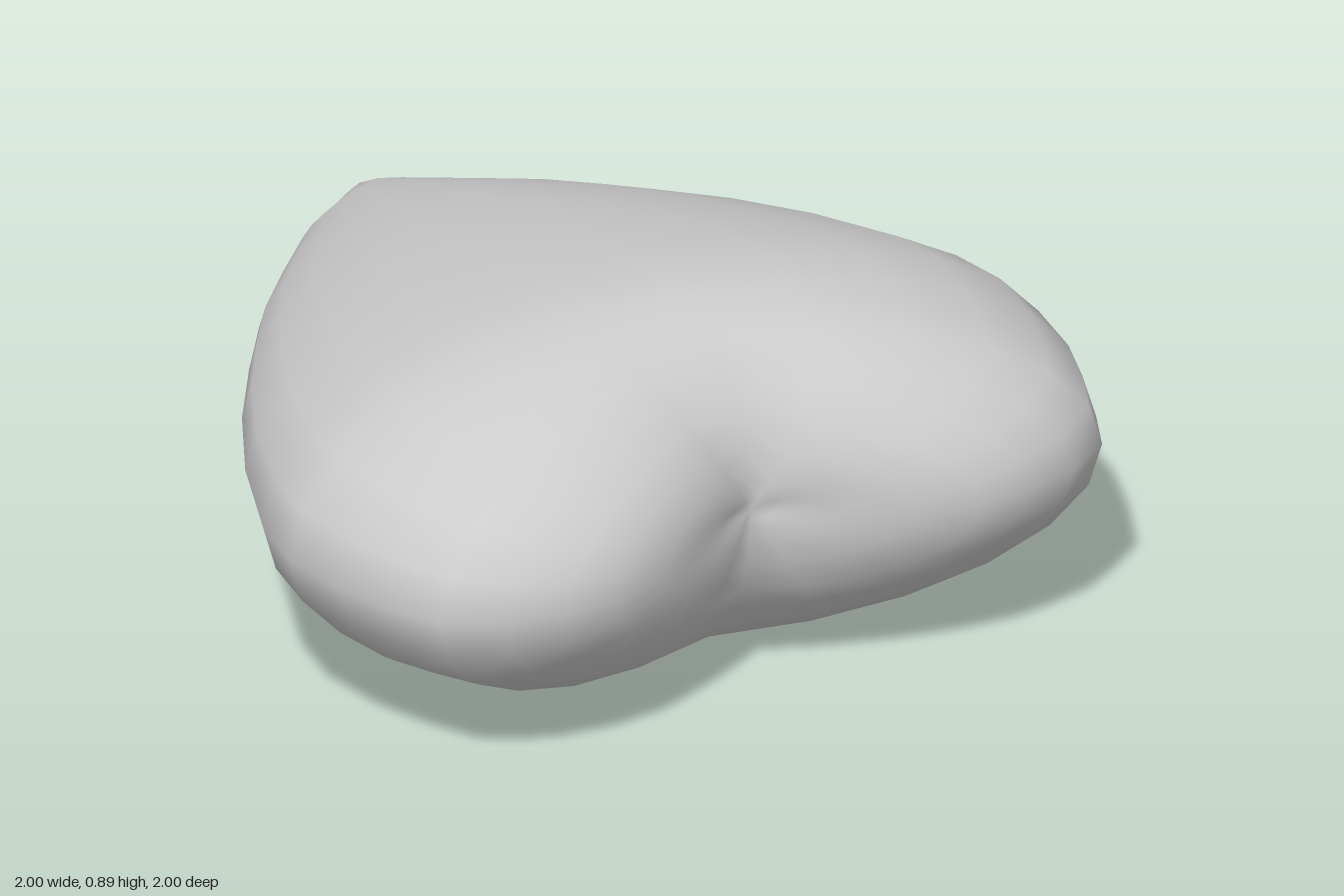
import * as THREE from 'three';

// Cross-sections from the rear tip to the front notch:
// [half width, z on the centre line, z on the outer rim]
const SECTIONS = [
  [0.10, -0.975, -0.94], [0.22, -0.89, -0.86], [0.37, -0.73, -0.71],
  [0.50, -0.58, -0.57], [0.62, -0.42, -0.41], [0.75, -0.21, -0.22],
  [0.87, 0.02, 0.0], [0.975, 0.26, 0.26], [1.0, 0.41, 0.42],
  [0.975, 0.48, 0.60], [0.93, 0.54, 0.74], [0.87, 0.59, 0.87],
  [0.75, 0.65, 0.95], [0.61, 0.70, 0.99], [0.48, 0.733, 0.995],
  [0.32, 0.76, 0.95], [0.16, 0.775, 0.86], [0.06, 0.78, 0.795],
];
const SIDES = 24, HALF_HEIGHT = 0.447, MID_Y = 0.455;

function heartGeometry() {
  const pos = [0, MID_Y + 0.025, -1];
  const index = [];
  SECTIONS.forEach(([w, zMid, zRim], i) => {
    const keel = i < 8 ? 0.35 * (1 - w) : 0; // rear sections turn lens-shaped towards the tip
    for (let j = 0; j < SIDES; j++) {
      const a = (j / SIDES) * Math.PI * 2;
      const c = Math.abs(Math.cos(a)), s = Math.sin(a);
      const y = THREE.MathUtils.lerp(s, Math.sign(s) * (1 - c), keel);
      pos.push(w * Math.cos(a), MID_Y + 0.025 * (1 - w) + HALF_HEIGHT * w * y, zMid + (zRim - zMid) * c);
    }
  });
  pos.push(0, MID_Y + 0.025, 0.78);

  // Skin between sections, closed by a fan at each pole
  const at = (i, j) => 1 + i * SIDES + (j % SIDES);
  const last = SECTIONS.length - 1, end = pos.length / 3 - 1;
  for (let j = 0; j < SIDES; j++) {
    index.push(0, at(0, j + 1), at(0, j));
    for (let i = 0; i < last; i++) {
      index.push(at(i, j), at(i, j + 1), at(i + 1, j));
      index.push(at(i, j + 1), at(i + 1, j + 1), at(i + 1, j));
    }
    index.push(at(last, j), at(last, j + 1), end);
  }
  const g = new THREE.BufferGeometry();
  g.setAttribute('position', new THREE.Float32BufferAttribute(pos, 3));
  g.setIndex(index);
  g.computeVertexNormals();
  return g;
}

export function createModel() {
  const group = new THREE.Group();
  const heart = new THREE.Mesh(heartGeometry(), new THREE.MeshStandardMaterial({ color: 0xcccccc }));
  heart.name = 'heart';
  group.add(heart);
  return group;
}
